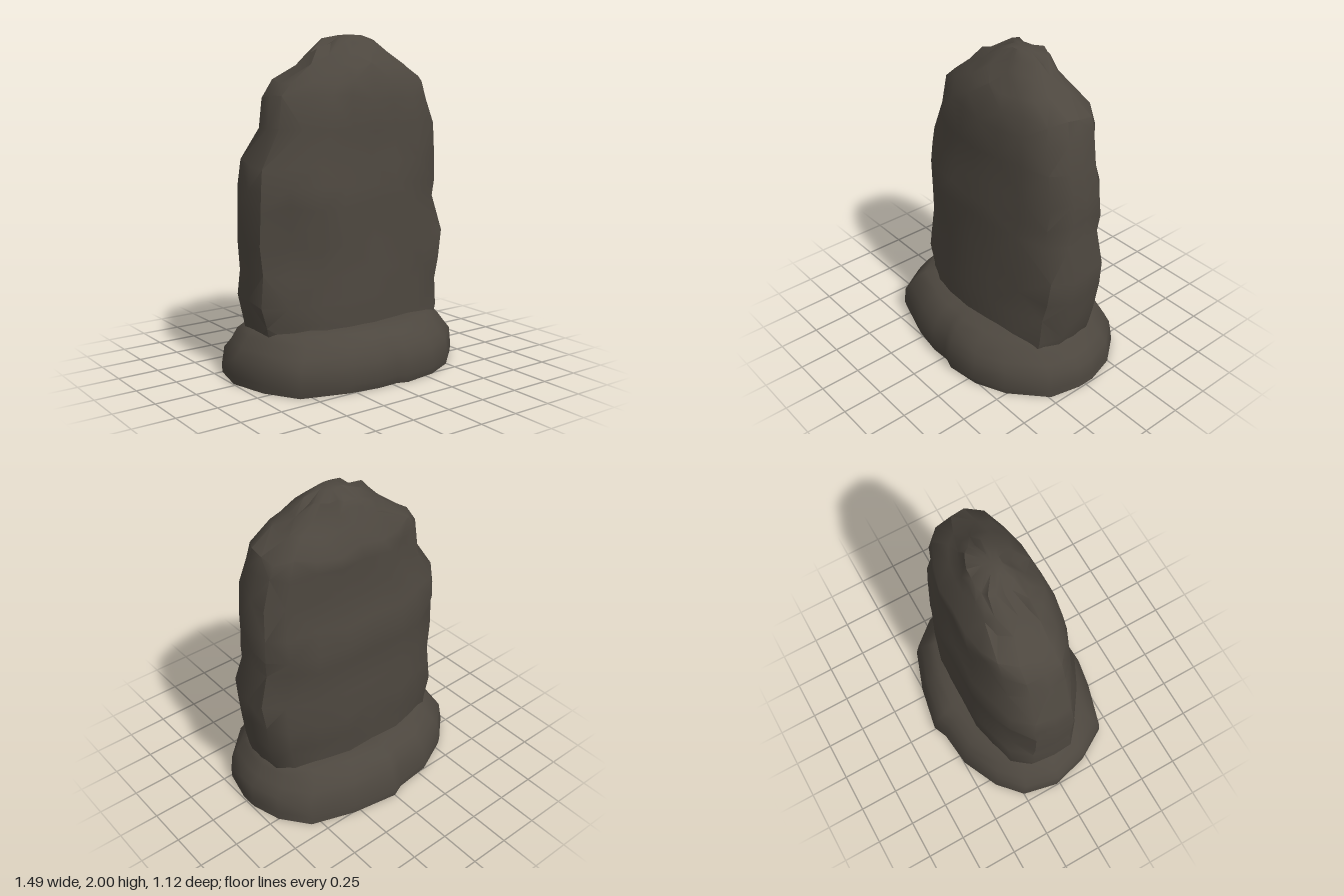
import * as THREE from 'three';
import { toCreasedNormals } from 'three/addons/utils/BufferGeometryUtils.js';

// Unit outline of the upright slab seen from above, [x, z], from +x towards +z
const slabOutline = [
  [1, 0], [1, 0.32], [0.92, 0.7], [0.62, 0.88], [0.3, 0.97], [0, 1], [-0.3, 0.98],
  [-0.54, 0.92], [-0.8, 0.68], [-0.98, 0.38], [-1, 0], [-0.98, -0.42], [-0.85, -0.75],
  [-0.6, -0.9], [-0.35, -1], [0, -0.97], [0.3, -0.98], [0.6, -0.86], [0.86, -0.66], [0.98, -0.38],
];

// Slab sections: y, left edge, right edge, back, front
const slabRings = [
  [0.25, -0.6, 0.6, -0.33, 0.33], [0.34, -0.615, 0.63, -0.345, 0.335],
  [0.48, -0.65, 0.66, -0.35, 0.33], [0.64, -0.63, 0.68, -0.36, 0.32],
  [0.8, -0.645, 0.7, -0.345, 0.31], [1.02, -0.64, 0.65, -0.345, 0.31],
  [1.14, -0.63, 0.66, -0.36, 0.31], [1.27, -0.615, 0.65, -0.335, 0.28],
  [1.46, -0.505, 0.63, -0.295, 0.28], [1.64, -0.475, 0.59, -0.31, 0.26],
  [1.73, -0.4, 0.56, -0.3, 0.235], [1.82, -0.26, 0.42, -0.22, 0.2],
  [1.9, -0.19, 0.33, -0.19, 0.12], [1.96, -0.07, 0.25, -0.16, 0.07], [2, 0.03, 0.15, -0.08, 0.02],
];

// Outline of the base stone seen from above, normalised by its half width and depth
const baseOutline = [
  [0.745, 0.05], [0.7, 0.25], [0.5, 0.44], [0.31, 0.53], [0.1, 0.56], [0.03, 0.535], [-0.1, 0.54],
  [-0.29, 0.51], [-0.57, 0.42], [-0.69, 0.22], [-0.75, -0.02], [-0.7, -0.25], [-0.55, -0.39],
  [-0.31, -0.505], [-0.08, -0.53], [0, -0.565], [0.29, -0.515], [0.56, -0.42], [0.69, -0.25], [0.745, -0.06],
].map(([x, z]) => [x / 0.75, z / 0.56]);

const baseRings = [
  [0, -0.745, 0.745, -0.55, 0.54], [0.05, -0.75, 0.745, -0.56, 0.56],
  [0.16, -0.74, 0.74, -0.53, 0.545], [0.21, -0.7, 0.69, -0.51, 0.52],
  [0.27, -0.66, 0.65, -0.47, 0.48], [0.31, -0.61, 0.61, -0.41, 0.42],
  [0.33, -0.52, 0.53, -0.33, 0.34],
];

// Repeatable value from 0 to 1 for each corner
function chip(i, j) {
  const s = Math.sin(i * 12.99 + j * 78.23) * 43758.55;
  return s - Math.floor(s);
}

// Closed stone body skinned over rings of one outline; wear pulls faces inwards
function stone(outline, rings, wear, crease) {
  const n = outline.length, pos = [], index = [];
  rings.forEach(([y, x0, x1, z0, z1], r) => outline.forEach(([u, v], i) => {
    const inner = r > 0 && r < rings.length - 1;
    const k = inner ? 1 - wear * chip(i, r) : 1;
    const lift = inner ? (chip(i + 31, r) - 0.5) * wear * 0.6 : 0;
    const kx = Math.abs(u) > 0.95 ? 1 : k, kz = Math.abs(v) > 0.96 ? 1 - (1 - k) * 0.5 : k;
    pos.push((x0 + x1) / 2 + u * kx * (x1 - x0) / 2, y + lift, (z0 + z1) / 2 + v * kz * (z1 - z0) / 2);
  }));
  for (let r = 0; r < rings.length - 1; r++) {
    for (let i = 0; i < n; i++) {
      const a = r * n + i, b = r * n + (i + 1) % n, c = b + n, d = a + n;
      if ((i + r) % 2) index.push(a, d, b, b, d, c);
      else index.push(a, d, c, a, c, b);
    }
  }
  // End caps
  const last = (rings.length - 1) * n, bottom = pos.length / 3, top = bottom + 1;
  for (const [y, x0, x1, z0, z1] of [rings[0], rings[rings.length - 1]]) pos.push((x0 + x1) / 2, y, (z0 + z1) / 2);
  for (let i = 0; i < n; i++) {
    const j = (i + 1) % n;
    index.push(bottom, i, j, top, last + j, last + i);
  }
  const g = new THREE.BufferGeometry();
  g.setAttribute('position', new THREE.Float32BufferAttribute(pos, 3));
  g.setIndex(index);
  return toCreasedNormals(g, crease);
}

export function createModel() {
  const group = new THREE.Group();
  group.name = 'standingStone';
  const darkStone = new THREE.MeshStandardMaterial({ color: 0x4d473f });
  darkStone.name = 'dark stone';

  const base = new THREE.Mesh(stone(baseOutline, baseRings, 0.015, 0.9), darkStone);
  base.name = 'baseStone';
  const slab = new THREE.Mesh(stone(slabOutline, slabRings, 0.07, 0.75), darkStone);
  slab.name = 'uprightSlab';
  group.add(base, slab);
  return group;
}
